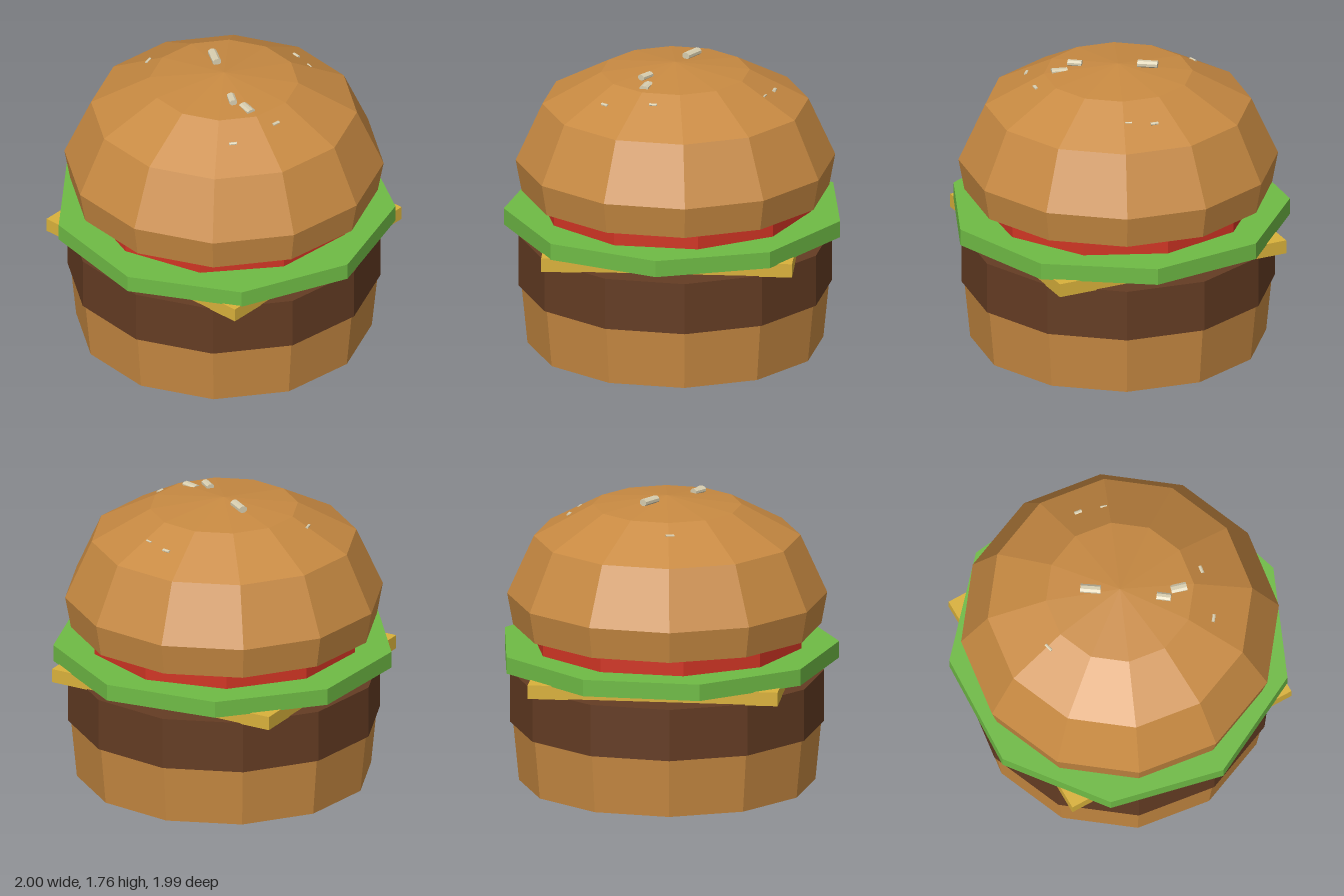
import * as THREE from 'three';

const paint = (name, color) => {
  const m = new THREE.MeshStandardMaterial({ color });
  m.name = name;
  return m;
};

// faceted look: every face gets its own normal
function flat(geometry) {
  const g = geometry.index ? geometry.toNonIndexed() : geometry;
  g.computeVertexNormals();
  return g;
}

export function createModel() {
  const bun = paint('bun crust', 0xc88a42);
  const meat = paint('patty brown', 0x643c23);
  const yellow = paint('cheese yellow', 0xd9b13b);
  const green = paint('lettuce green', 0x6fbb45);
  const red = paint('tomato red', 0xd03524);
  const cream = paint('sesame cream', 0xd8ceb0);

  const model = new THREE.Group();
  model.name = 'burger';
  const stack = new THREE.Group();
  stack.name = 'layers';
  stack.position.z = 0.018;
  model.add(stack);

  function add(name, geometry, material, parent = stack) {
    const mesh = new THREE.Mesh(flat(geometry), material);
    mesh.name = name;
    parent.add(mesh);
    return mesh;
  }

  // prism layer between two heights
  function layer(name, y0, y1, rBottom, rTop, sides, material) {
    const mesh = add(name, new THREE.CylinderGeometry(rTop, rBottom, y1 - y0, sides), material);
    mesh.position.y = (y0 + y1) / 2;
    return mesh;
  }

  layer('bottomBun', 0, 0.356, 0.875, 0.91, 12, bun);
  layer('patty', 0.354, 0.667, 0.927, 0.927, 12, meat);
  layer('lettuce', 0.74, 0.84, 1.015, 1.015, 9, green).rotation.y = Math.PI;
  layer('tomato', 0.838, 0.952, 0.808, 0.808, 10, red);

  // square cheese slice turned so its corners stick out
  const cheese = add('cheese', new THREE.BoxGeometry(1.485, 0.083, 1.485), yellow);
  cheese.position.y = 0.7035;
  cheese.rotation.y = 0.394;

  // domed top bun
  const profile = [[0, 0.95], [0.91, 0.95], [0.945, 1.14], [0.787, 1.49], [0.44, 1.68], [0, 1.735]]
    .map(([r, y]) => new THREE.Vector2(r, y));
  add('topBun', new THREE.LatheGeometry(profile, 12), bun);

  // sesame seeds: x, y, z, width, height, length, turn
  const seeds = new THREE.Group();
  seeds.name = 'sesameSeeds';
  model.add(seeds);
  [
    [0.022, 1.737, -0.155, 0.05, 0.04, 0.12, -0.2],
    [-0.07, 1.714, 0.27, 0.045, 0.034, 0.085, -0.25],
    [-0.018, 1.69, 0.365, 0.052, 0.026, 0.095, 0.12],
    [-0.2, 1.6, 0.55, 0.02, 0.016, 0.046, 1.3],
    [0.1, 1.636, 0.512, 0.022, 0.014, 0.046, 1.85],
    [0.562, 1.588, -0.163, 0.022, 0.016, 0.046, 0.25],
    [0.575, 1.602, -0.01, 0.012, 0.01, 0.04, 0.1],
    [-0.275, 1.628, -0.44, 0.016, 0.012, 0.05, 2.2],
  ].forEach(([x, y, z, w, h, l, turn]) => {
    const g = new THREE.CylinderGeometry(0.54, 0.54, 1, 8);
    g.rotateY(Math.PI / 8).rotateX(Math.PI / 2).scale(w, h, l);
    const seed = add('sesameSeed', g, cream, seeds);
    seed.position.set(x, y, z);
    seed.rotation.y = turn;
  });

  return model;
}
